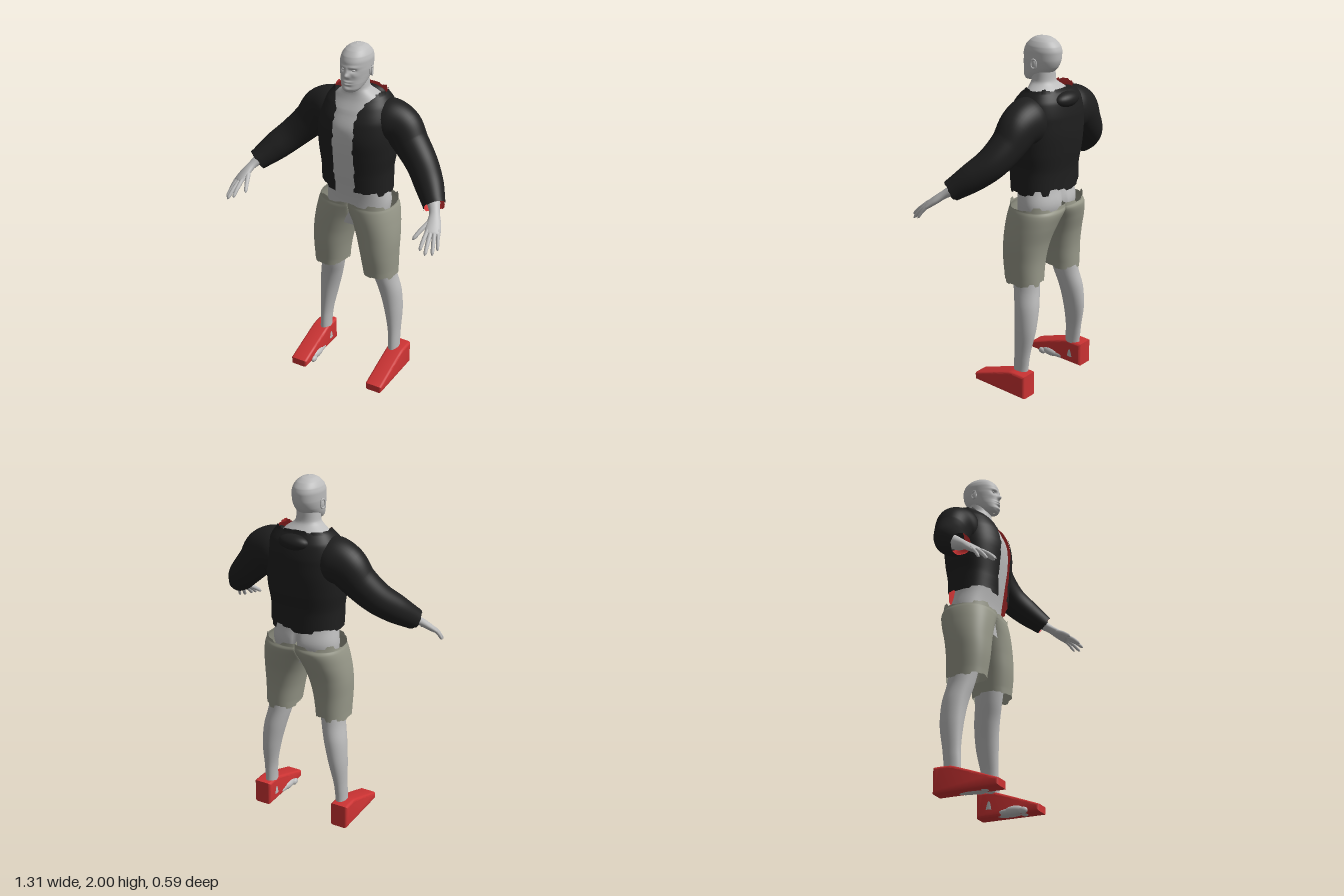
import * as THREE from 'three';
import { toCreasedNormals } from 'three/addons/utils/BufferGeometryUtils.js';

const mat = (name, color, side = THREE.FrontSide) => {
  const m = new THREE.MeshStandardMaterial({ color, side });
  m.name = name;
  return m;
};
const V = (x, y, z) => new THREE.Vector3(x, y, z);
const hash = (i, k) => { const s = Math.sin(i * 12.9898 + k * 78.233) * 43758.5453; return s - Math.floor(s); };
const spow = (s, e) => Math.sign(s) * Math.abs(s) ** e;

// Section of the body at height y: half width, front z, back z
const sec = (y, w, zf, zb) => [0, y, (zf + zb) / 2, w, (zf - zb) / 2];

// Skin over elliptical sections [x, y, z, a, b]; may be open in front, ragged at its ends, or turned inside out
function loft(secs, o = {}) {
  const { segs = 40, rings = 30, e = 1, along = false, front = V(0, 0, 1), gap, rag = [0, 0], flip = false, inset = 0, move } = o;
  const path = new THREE.CatmullRomCurve3(secs.map(s => V(s[0], s[1], s[2])));
  const radii = new THREE.CatmullRomCurve3(secs.map(s => V(s[3], s[4], 0)));
  const pos = [], idx = [], cols = gap ? segs + 1 : segs;
  for (let j = 0; j <= rings; j++) {
    const v = j / rings, c = path.getPoint(v), r = radii.getPoint(v);
    const a = r.x - inset, b = r.y - inset;
    const T = along ? path.getTangent(v) : V(0, 1, 0);
    const F = front.clone().addScaledVector(T, -front.dot(T)).normalize();
    const U = T.clone().cross(F);
    for (let i = 0; i < cols; i++) {
      const k = i / segs;
      let t0 = 0;
      if (gap) {
        const g = gap(c.y) + 0.014 * (hash(j >> 1, k < 0.5 ? 1 : 2) - 0.5);
        t0 = Math.asin(Math.min(0.95, g / a) ** (1 / e));
      }
      const t = t0 + k * (2 * Math.PI - 2 * t0);
      const p = c.clone().addScaledVector(U, a * spow(Math.sin(t), e)).addScaledVector(F, b * spow(Math.cos(t), e));
      if (j === 0) p.addScaledVector(T, -rag[0] * hash(i >> 2, 3));
      if (j === rings) p.addScaledVector(T, rag[1] * hash(i >> 2, 4));
      if (move) move(p, Math.cos(t));
      pos.push(p.x, p.y, p.z);
    }
  }
  for (let j = 0; j < rings; j++) for (let i = 0; i < segs; i++) {
    const n = (i + 1) % cols, A = j * cols + i, B = j * cols + n, C = B + cols, D = A + cols;
    idx.push(...(flip ? [A, D, B, B, D, C] : [A, B, D, B, C, D]));
  }
  const g = new THREE.BufferGeometry();
  g.setAttribute('position', new THREE.Float32BufferAttribute(pos, 3));
  g.setIndex(idx);
  g.computeVertexNormals();
  return g;
}

// Mirror image across x with the winding corrected
function mirror(geo) {
  const g = geo.clone().scale(-1, 1, 1);
  const src = g.index ? Array.from(g.index.array) : [...Array(g.attributes.position.count).keys()];
  for (let i = 0; i < src.length; i += 3) [src[i], src[i + 1]] = [src[i + 1], src[i]];
  g.setIndex(src);
  return g;
}

const ball = (x, y, z, rx, ry, rz) => new THREE.SphereGeometry(1, 28, 18).scale(rx, ry, rz).translate(x, y, z);

export function createModel() {
  const root = new THREE.Group();
  root.name = 'standingMan';
  const skin = mat('greySkin', 0xbcbcbc), black = mat('blackCloth', 0x1f1f1f), red = mat('red', 0xcc3333);
  const khaki = mat('khakiCloth', 0x98998a, THREE.DoubleSide);
  const add = (name, geo, m) => {
    const mesh = new THREE.Mesh(geo, m);
    mesh.name = name;
    root.add(mesh);
  };
  const pair = (name, geo, m) => {
    add(name + 'Left', geo, m);
    add(name + 'Right', mirror(geo), m);
  };

  // Torso and neck
  add('torso', loft([
    sec(0.97, 0.17, 0, -0.2), sec(1.1, 0.19, 0, -0.245), sec(1.2, 0.176, 0.012, -0.225), sec(1.3, 0.172, 0.03, -0.215),
    sec(1.45, 0.185, 0.05, -0.23), sec(1.55, 0.18, 0.05, -0.245), sec(1.65, 0.17, 0.01, -0.24),
    sec(1.715, 0.125, -0.025, -0.205), sec(1.765, 0.066, -0.035, -0.16), sec(1.83, 0.06, -0.035, -0.155)
  ], {
    segs: 72, rings: 60, e: 0.9,
    move: (p, f) => { if (f < 0 && p.y < 1.2) p.z += 0.02 * Math.exp(-((p.x / 0.015) ** 2)) * Math.min(1, (1.2 - p.y) * 10); }
  }), skin);

  // Head, with the face pushed out and in: [x, y, x spread, y spread, amount]
  const face = [
    [0, 1.855, 0.013, 0.013, 0.021], [0, 1.88, 0.009, 0.018, 0.009], [0.03, 1.9, 0.028, 0.008, 0.006],
    [0.03, 1.882, 0.015, 0.009, -0.012], [0, 1.822, 0.024, 0.005, 0.009], [0, 1.808, 0.02, 0.005, 0.009],
    [0, 1.78, 0.022, 0.01, 0.006], [0.045, 1.855, 0.016, 0.014, 0.004], [0, 1.795, 0.02, 0.004, -0.003]
  ];
  add('head', loft([
    sec(1.757, 0.002, -0.005, -0.009), sec(1.762, 0.034, 0.014, -0.05), sec(1.78, 0.054, 0.022, -0.1),
    sec(1.81, 0.067, 0.022, -0.15), sec(1.84, 0.074, 0.02, -0.18), sec(1.88, 0.08, 0.02, -0.197),
    sec(1.92, 0.081, 0.017, -0.2), sec(1.95, 0.075, 0.005, -0.192), sec(1.976, 0.058, -0.02, -0.168),
    sec(1.993, 0.034, -0.05, -0.135), sec(2.0, 0.001, -0.088, -0.09)
  ], {
    segs: 96, rings: 90, e: 0.95,
    move: (p, f) => {
      if (f <= 0) return;
      let d = 0;
      for (const [x, y, sx, sy, h] of face) d += h * Math.exp(-(((Math.abs(p.x) - x) / sx) ** 2) - ((p.y - y) / sy) ** 2);
      p.z += d * Math.min(1, f * 2);
    }
  }), skin);
  pair('eye', ball(0.03, 1.882, 0.0, 0.011, 0.007, 0.01), skin);
  pair('ear', ball(0.081, 1.86, -0.095, 0.007, 0.024, 0.015), skin);
  pair('earRim', new THREE.TorusGeometry(0.016, 0.004, 8, 24).scale(1, 1.5, 1).rotateY(Math.PI / 2 + 0.3).translate(0.086, 1.862, -0.098), skin);

  // Open jacket with a red lining
  const jacket = [
    sec(1.21, 0.203, 0.048, -0.258), sec(1.3, 0.203, 0.055, -0.26), sec(1.4, 0.217, 0.065, -0.275),
    sec(1.5, 0.222, 0.072, -0.285), sec(1.6, 0.215, 0.055, -0.285), sec(1.68, 0.19, 0.012, -0.27), sec(1.738, 0.148, -0.04, -0.235)
  ];
  const jacketOpt = { segs: 88, rings: 50, e: 0.85, rag: [0.04, 0.014], gap: y => 0.062 + 0.8 * Math.max(0, y - 1.66) };
  add('jacketBody', loft(jacket, jacketOpt), black);
  add('jacketLining', loft(jacket, { ...jacketOpt, flip: true, inset: 0.005 }), red);
  add('foldedHood', ball(0, 1.685, -0.248, 0.088, 0.042, 0.05), black);

  // Sleeves
  const sleeve = [
    [0.13, 1.575, -0.13, 0.125, 0.11], [0.18, 1.58, -0.133, 0.13, 0.117], [0.245, 1.56, -0.135, 0.12, 0.105],
    [0.315, 1.485, -0.122, 0.098, 0.093], [0.4, 1.4, -0.085, 0.087, 0.085], [0.475, 1.33, -0.02, 0.08, 0.076], [0.55, 1.258, 0.062, 0.06, 0.058]
  ];
  const sleeveOpt = { along: true, segs: 48, rings: 40, rag: [0, 0.01] };
  pair('sleeve', loft(sleeve, sleeveOpt), black);
  pair('sleeveLining', loft(sleeve.slice(3), { ...sleeveOpt, flip: true, inset: 0.005 }), red);

  // Forearms and palms
  const across = V(-0.75, 0, 0.6);
  pair('forearmAndPalm', loft([
    [0.47, 1.335, -0.03, 0.04, 0.042], [0.535, 1.27, 0.045, 0.033, 0.036], [0.568, 1.235, 0.095, 0.022, 0.028],
    [0.588, 1.2, 0.14, 0.02, 0.038], [0.603, 1.165, 0.185, 0.015, 0.042], [0.606, 1.158, 0.193, 0.002, 0.03]
  ], { along: true, front: across }), skin);

  // Fingers and thumb: knuckle, tip, radius
  const fingers = [
    ['thumb', [0.565, 1.205, 0.14], [0.518, 1.135, 0.245], 0.0125],
    ['indexFinger', [0.576, 1.17, 0.198], [0.578, 1.105, 0.28], 0.011],
    ['middleFinger', [0.594, 1.167, 0.192], [0.612, 1.09, 0.288], 0.0115],
    ['ringFinger', [0.612, 1.165, 0.182], [0.64, 1.083, 0.258], 0.011],
    ['littleFinger', [0.626, 1.167, 0.166], [0.651, 1.094, 0.218], 0.0095]
  ];
  for (const [name, a, b, r] of fingers) {
    const at = (k, s, lift) => [a[0] + (b[0] - a[0]) * k, a[1] + (b[1] - a[1]) * k + lift, a[2] + (b[2] - a[2]) * k, r * s, r * s];
    pair(name, loft([at(-0.2, 1, 0), at(0.2, 1.05, 0.004), at(0.55, 0.95, 0.006), at(0.88, 0.8, 0.002), at(1, 0.05, 0)],
      { along: true, segs: 14, rings: 16 }), skin);
  }

  // Shorts, one half per leg meeting on the centre line
  pair('shortsLeg', loft([
    [0.158, 0.68, -0.095, 0.092, 0.112], [0.15, 0.8, -0.09, 0.105, 0.12], [0.1375, 0.9, -0.097, 0.1185, 0.128],
    [0.1125, 1.0, -0.112, 0.133, 0.142], [0.081, 1.07, -0.122, 0.151, 0.148], [0.066, 1.093, -0.12, 0.158, 0.142]
  ], { segs: 72, rings: 40, e: 0.88, rag: [0.026, 0.03], move: p => { p.x = Math.max(0, p.x); } }), khaki);

  // Lower legs
  pair('leg', loft([
    [0.232, 0.05, -0.135, 0.034, 0.05], [0.232, 0.15, -0.133, 0.031, 0.047], [0.229, 0.25, -0.14, 0.034, 0.05],
    [0.215, 0.4, -0.15, 0.051, 0.066], [0.194, 0.53, -0.143, 0.063, 0.073], [0.17, 0.64, -0.122, 0.066, 0.077], [0.15, 0.82, -0.1, 0.08, 0.09]
  ]), skin);

  // Wedge shoes, with the feet showing at the inner edge and sole
  const side = new THREE.Shape();
  side.moveTo(-0.195, 0.025);
  side.lineTo(0.143, 0.025);
  side.lineTo(0.143, 0.04);
  side.quadraticCurveTo(0, 0.095, -0.1, 0.13);
  side.quadraticCurveTo(-0.12, 0.137, -0.195, 0.135);
  side.closePath();
  const shoe = new THREE.ExtrudeGeometry(side, { depth: 0.075, bevelSize: 0.015, bevelThickness: 0.015, bevelSegments: 4, curveSegments: 10 });
  pair('shoe', toCreasedNormals(shoe.rotateY(-Math.PI / 2).translate(0.29, 0, 0), 0.6), red);
  pair('foot', ball(0.232, 0.028, -0.02, 0.038, 0.0255, 0.1), skin);
  pair('footInnerEdge', ball(0.21, 0.03, 0.015, 0.024, 0.026, 0.06), skin);
  pair('bigToe', ball(0.198, 0.021, 0.07, 0.015, 0.019, 0.026), skin);
  pair('smallToes', ball(0.245, 0.02, 0.06, 0.03, 0.018, 0.022), skin);

  return root;
}
